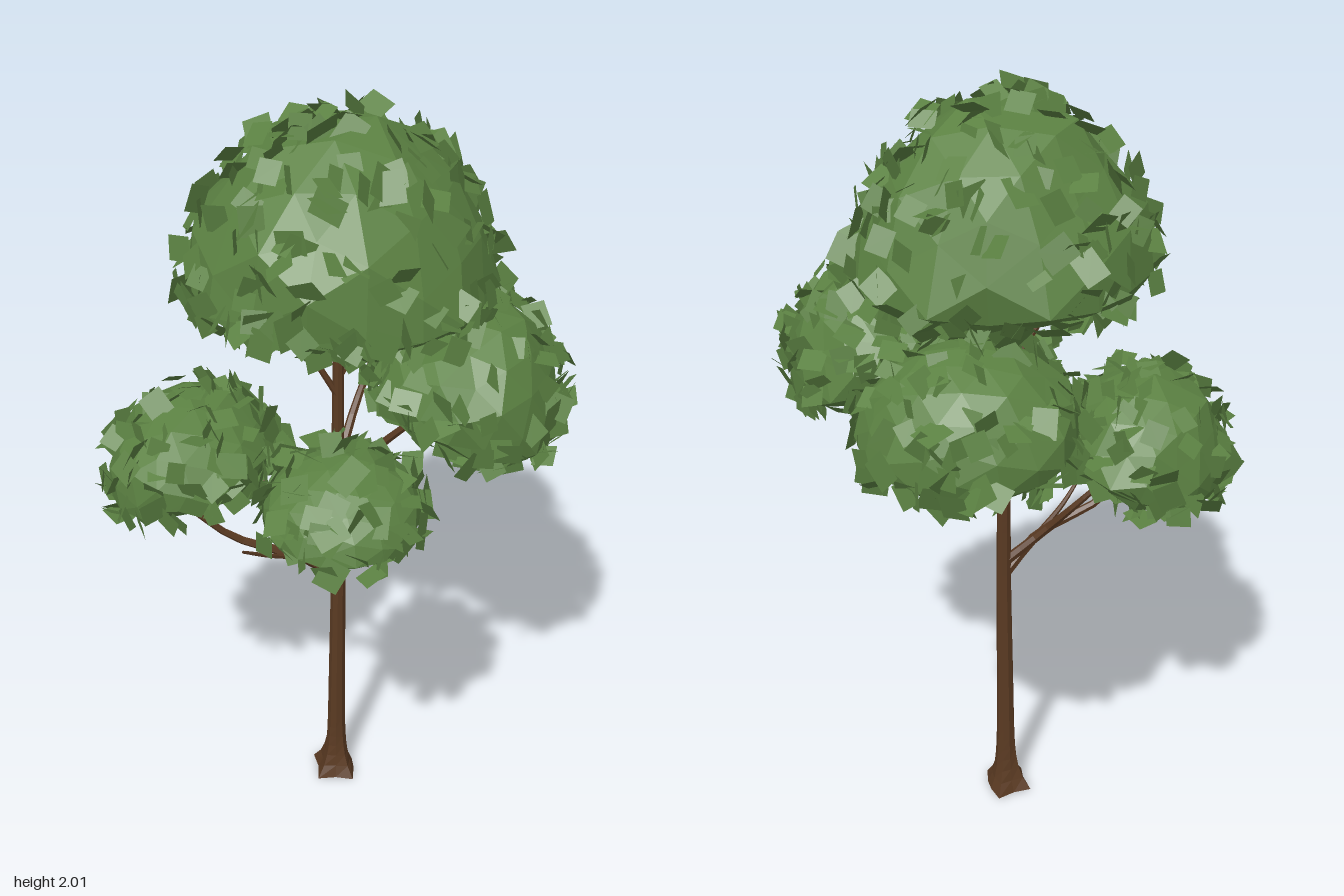
import * as THREE from 'three';
import { mergeGeometries } from 'three/addons/utils/BufferGeometryUtils.js';

const bark = new THREE.MeshStandardMaterial({ color: 0x5a3a22, flatShading: true, side: THREE.DoubleSide });
const foliage = new THREE.MeshStandardMaterial({ color: 0x5b8142, flatShading: true });
const leafMat = new THREE.MeshStandardMaterial({ color: 0x5b8142, flatShading: true, side: THREE.DoubleSide });
const UP = new THREE.Vector3(0, 1, 0);

// Small seeded generator
let seed = 7;
function rnd(a = 0, b = 1) {
  seed = (seed * 16807) % 2147483647;
  return a + (b - a) * seed / 2147483647;
}

// Tube whose radius follows a rule of (position along 0..1, side index)
function limb(name, points, radius, segments, sides) {
  const path = new THREE.CatmullRomCurve3(points.map(p => new THREE.Vector3(...p)));
  const geo = new THREE.TubeGeometry(path, segments, 1, sides);
  const pos = geo.attributes.position, v = new THREE.Vector3();
  for (let i = 0; i <= segments; i++) {
    const c = path.getPointAt(i / segments);
    for (let j = 0; j <= sides; j++) {
      const k = i * (sides + 1) + j;
      v.fromBufferAttribute(pos, k).sub(c).multiplyScalar(radius(i / segments, j % sides)).add(c);
      pos.setXYZ(k, v.x, v.y, v.z);
    }
  }
  const mesh = new THREE.Mesh(geo, bark);
  mesh.name = name;
  return mesh;
}

// Point on the clump surface: slightly tapered dome above, shallow below
function domePoint(dir, [rx, ry, rz], under) {
  const taper = 1 - 0.1 * Math.max(dir.y, 0);
  return new THREE.Vector3(dir.x * rx * taper, dir.y * ry * (dir.y < 0 ? under : 1), dir.z * rz * taper);
}

// Faceted dome covered with scattered square leaves
function clump({ name, at, axis, size, under, leaves }) {
  const group = new THREE.Group();
  group.name = name;
  const body = new THREE.IcosahedronGeometry(1, 2);
  const pos = body.attributes.position, d = new THREE.Vector3();
  for (let i = 0; i < pos.count; i++) {
    d.fromBufferAttribute(pos, i);
    const wobble = 1 + 0.05 * Math.sin(9 * d.x + 5 * d.z + at[0] * 20) * Math.cos(7 * d.y - 4 * d.z);
    const p = domePoint(d, size, under).multiplyScalar(wobble);
    pos.setXYZ(i, p.x, p.y, p.z);
  }
  const core = new THREE.Mesh(body, foliage);
  core.name = name + 'Core';

  const quads = [], m = new THREE.Matrix4(), q = new THREE.Quaternion(), tilt = new THREE.Quaternion();
  for (let i = 0; i < leaves; i++) {
    const y = rnd(-0.75, 1), a = rnd(0, Math.PI * 2), r = Math.sqrt(1 - y * y);
    d.set(r * Math.cos(a), y, r * Math.sin(a));
    const n = new THREE.Vector3(d.x / size[0], d.y / size[1], d.z / size[2]).normalize();
    const p = domePoint(d, size, under).addScaledVector(n, rnd(-0.01, 0.025));
    q.setFromUnitVectors(new THREE.Vector3(0, 0, 1), n);
    tilt.setFromEuler(new THREE.Euler(rnd(-0.95, 0.95), rnd(-0.95, 0.95), rnd(0, 6.28)));
    const s = rnd(0.046, 0.066);
    m.compose(p, q.multiply(tilt), new THREE.Vector3(s, s * rnd(0.9, 1.3), s));
    quads.push(new THREE.PlaneGeometry(1, 1).applyMatrix4(m));
  }
  const leafMesh = new THREE.Mesh(mergeGeometries(quads), leafMat);
  leafMesh.name = name + 'Leaves';

  group.add(core, leafMesh);
  group.position.set(...at);
  group.quaternion.setFromUnitVectors(UP, new THREE.Vector3(...axis).normalize());
  return group;
}

export function createModel() {
  seed = 7;
  const tree = new THREE.Group();
  tree.name = 'tree';

  // Trunk with a lobed root flare
  tree.add(limb('trunk',
    [[0.012, 0, -0.01], [0.014, 0.3, -0.006], [0.018, 0.7, -0.003], [0.016, 1.1, -0.005], [0.02, 1.6, 0]],
    (t, j) => 0.026 - 0.014 * t + (0.034 + (j % 2 ? 0.017 : -0.008)) * Math.exp(-t * 30), 48, 9));

  // Branches
  const branches = [
    ['leftBranch', 0.016, [[0.015, 0.7, 0], [-0.07, 0.79, 0.06], [-0.23, 0.87, 0.12], [-0.33, 0.98, 0.17]]],
    ['leftInnerBranch', 0.014, [[0.01, 0.74, 0], [-0.08, 0.82, 0.01], [-0.17, 0.93, -0.03], [-0.26, 1.03, -0.04]]],
    ['leftTwig', 0.009, [[-0.07, 0.79, 0.06], [-0.13, 0.84, 0.14], [-0.18, 0.9, 0.22]]],
    ['frontBranch', 0.014, [[0.015, 0.89, 0], [0.05, 0.97, 0.12], [0.08, 1.04, 0.24], [0.15, 1.13, 0.38]]],
    ['rightBranch', 0.014, [[0.015, 0.97, 0], [0.08, 1.06, -0.02], [0.18, 1.18, 0.01], [0.3, 1.3, 0.04]]],
    ['backBranch', 0.014, [[0.015, 1.02, 0], [0.03, 1.12, -0.08], [0.05, 1.2, -0.18], [0.08, 1.29, -0.31]]],
    ['upperLeftBranch', 0.009, [[0.018, 1.25, 0], [-0.04, 1.36, 0.02], [-0.1, 1.46, 0.03], [-0.13, 1.56, 0.04]]],
    ['upperRightBranch', 0.009, [[0.018, 1.3, 0], [0.07, 1.4, -0.04], [0.15, 1.55, -0.08]]],
  ];
  for (const [name, r, pts] of branches) tree.add(limb(name, pts, t => r * (1 - 0.55 * t), 8, 6));

  // Foliage: rim centre, lean of the dome, radii, depth of the underside and leaf count
  const clumps = [
    { name: 'crown', at: [0.02, 1.58, 0], axis: [0.03, 1, -0.04], size: [0.37, 0.385, 0.37], under: 0.24, leaves: 310 },
    { name: 'leftClump', at: [-0.34, 1.06, 0.08], axis: [-0.3, 1, -0.12], size: [0.215, 0.2, 0.26], under: 0.45, leaves: 160 },
    { name: 'frontClump', at: [0.1, 1.16, 0.35], axis: [0.03, 1, 0.2], size: [0.185, 0.115, 0.19], under: 0.45, leaves: 110 },
    { name: 'rightClump', at: [0.335, 1.33, 0.04], axis: [0.42, 1, -0.05], size: [0.235, 0.225, 0.27], under: 0.38, leaves: 170 },
    { name: 'backClump', at: [0.07, 1.29, -0.32], axis: [0, 1, -0.36], size: [0.265, 0.19, 0.235], under: 0.38, leaves: 170 },
  ];
  for (const c of clumps) tree.add(clump(c));
  return tree;
}
